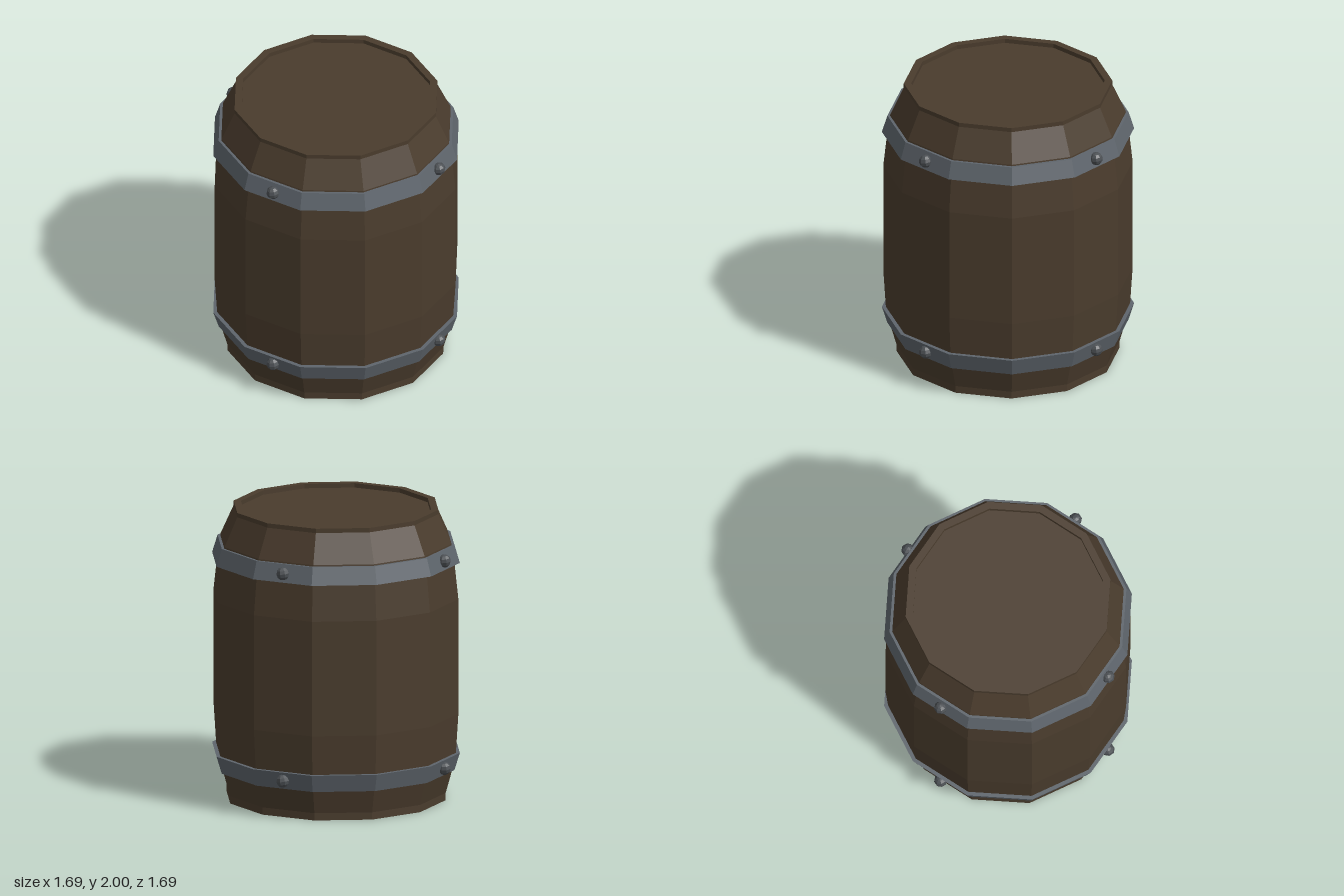
import * as THREE from 'three';

const SIDES = 12;

const wood = new THREE.MeshStandardMaterial({ color: 0x4a3c2d, flatShading: true });
wood.name = 'dark brown wood';
const iron = new THREE.MeshStandardMaterial({ color: 0x5e656c, flatShading: true });
iron.name = 'grey iron';
const boltMetal = new THREE.MeshStandardMaterial({ color: 0x4c5054, flatShading: true });
boltMetal.name = 'dark bolt metal';

// Faceted solid of revolution from [radius, height] pairs
function turned(name, profile, material) {
  const points = profile.map(([r, y]) => new THREE.Vector2(r, y));
  const mesh = new THREE.Mesh(new THREE.LatheGeometry(points, SIDES), material);
  mesh.name = name;
  return mesh;
}

// Closed hoop with a sloped outer face
function hoop(name, y0, r0, y1, r1) {
  const inner = 0.76;
  return turned(name, [[inner, y0], [r0, y0], [r1, y1], [inner, y1], [inner, y0]], iron);
}

export function createModel() {
  const barrel = new THREE.Group();
  barrel.name = 'barrel';

  // Body with recessed lid and base
  barrel.add(turned('body', [
    [0, 0.03], [0.70, 0.03], [0.70, 0], [0.75, 0], [0.75, 0.05],
    [0.80, 0.23], [0.82, 0.33], [0.837, 0.60], [0.837, 1.39],
    [0.81, 1.64], [0.79, 1.77], [0.70, 1.97], [0.70, 2],
    [0.65, 2], [0.65, 1.97], [0, 1.97],
  ], wood));

  // Metal hoops
  barrel.add(hoop('upperHoop', 1.64, 0.847, 1.76, 0.81));
  barrel.add(hoop('lowerHoop', 0.21, 0.81, 0.33, 0.847));

  // Four round bolts on each hoop
  const boltGeometry = new THREE.SphereGeometry(0.045, 8, 6);
  for (const [name, y] of [['upperBolt', 1.70], ['lowerBolt', 0.27]]) {
    for (let i = 0; i < 4; i++) {
      const angle = Math.PI / 4 + i * Math.PI / 2;
      const bolt = new THREE.Mesh(boltGeometry, boltMetal);
      bolt.name = name;
      bolt.position.set(0.81 * Math.sin(angle), y, 0.81 * Math.cos(angle));
      bolt.rotation.set(0, angle, 0.15);
      barrel.add(bolt);
    }
  }
  return barrel;
}
